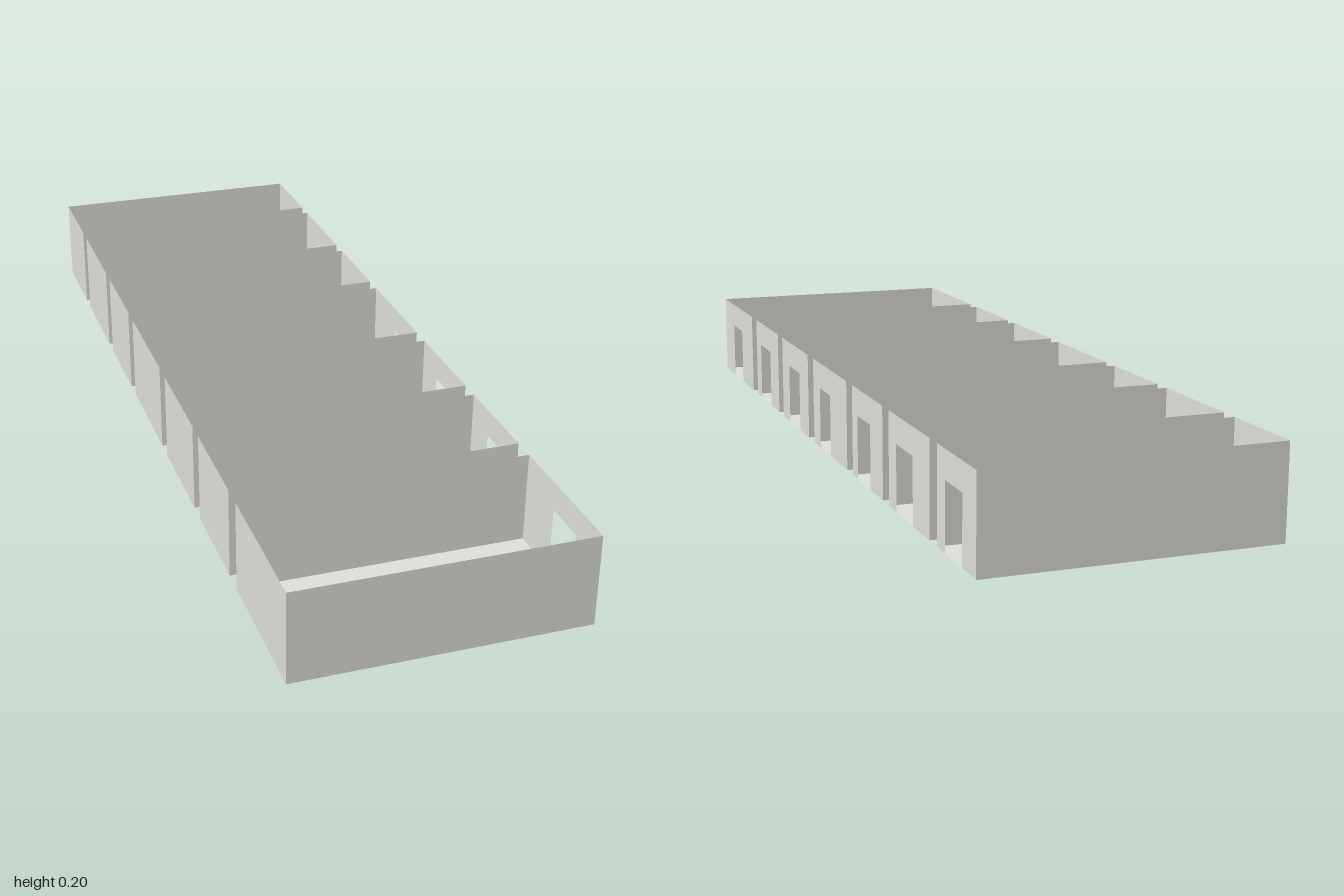
import * as THREE from 'three';

const HALF = 0.31, HEIGHT = 0.199, DOOR_HEIGHT = 0.14;

// each room: back z, front z, doorway back z, doorway front z
const ROOMS = [
  [-1, -0.795, -0.93, -0.84],
  [-0.753, -0.505, -0.655, -0.553],
  [-0.464, -0.25, -0.379, -0.288],
  [-0.207, 0.065, -0.076, 0.009],
  [0.112, 0.353, 0.192, 0.288],
  [0.398, 0.628, 0.48, 0.581],
  [0.678, 1, 0.8, 0.898],
];

export function createModel() {
  const model = new THREE.Group();
  model.name = 'rowOfRooms';
  const plaster = new THREE.MeshStandardMaterial({ color: 0xe2e2dd, side: THREE.DoubleSide });
  plaster.name = 'lightPlaster';

  const add = (parent, name, geometry) => {
    const mesh = new THREE.Mesh(geometry, plaster);
    mesh.name = name;
    parent.add(mesh);
  };

  ROOMS.forEach(([z0, z1, d0, d1], i) => {
    const room = new THREE.Group();
    room.name = `room${i + 1}`;
    const depth = z1 - z0, mid = (z0 + z1) / 2;

    // floor, open above
    add(room, 'floor', new THREE.PlaneGeometry(2 * HALF, depth).rotateX(-Math.PI / 2).translate(0, 0, mid));

    // long side walls
    add(room, 'frontWall', new THREE.PlaneGeometry(2 * HALF, HEIGHT).translate(0, HEIGHT / 2, z1));
    add(room, 'backWall', new THREE.PlaneGeometry(2 * HALF, HEIGHT).rotateY(Math.PI).translate(0, HEIGHT / 2, z0));

    // closed end
    add(room, 'endWall', new THREE.PlaneGeometry(depth, HEIGHT).rotateY(-Math.PI / 2).translate(-HALF, HEIGHT / 2, mid));

    // end with doorway, drawn with u = -z then turned to face +x
    const outline = [
      [-z1, 0], [-d1, 0], [-d1, DOOR_HEIGHT], [-d0, DOOR_HEIGHT],
      [-d0, 0], [-z0, 0], [-z0, HEIGHT], [-z1, HEIGHT],
    ].map(([u, v]) => new THREE.Vector2(u, v));
    add(room, 'doorWall', new THREE.ShapeGeometry(new THREE.Shape(outline)).rotateY(Math.PI / 2).translate(HALF, 0, 0));

    model.add(room);
  });
  return model;
}
